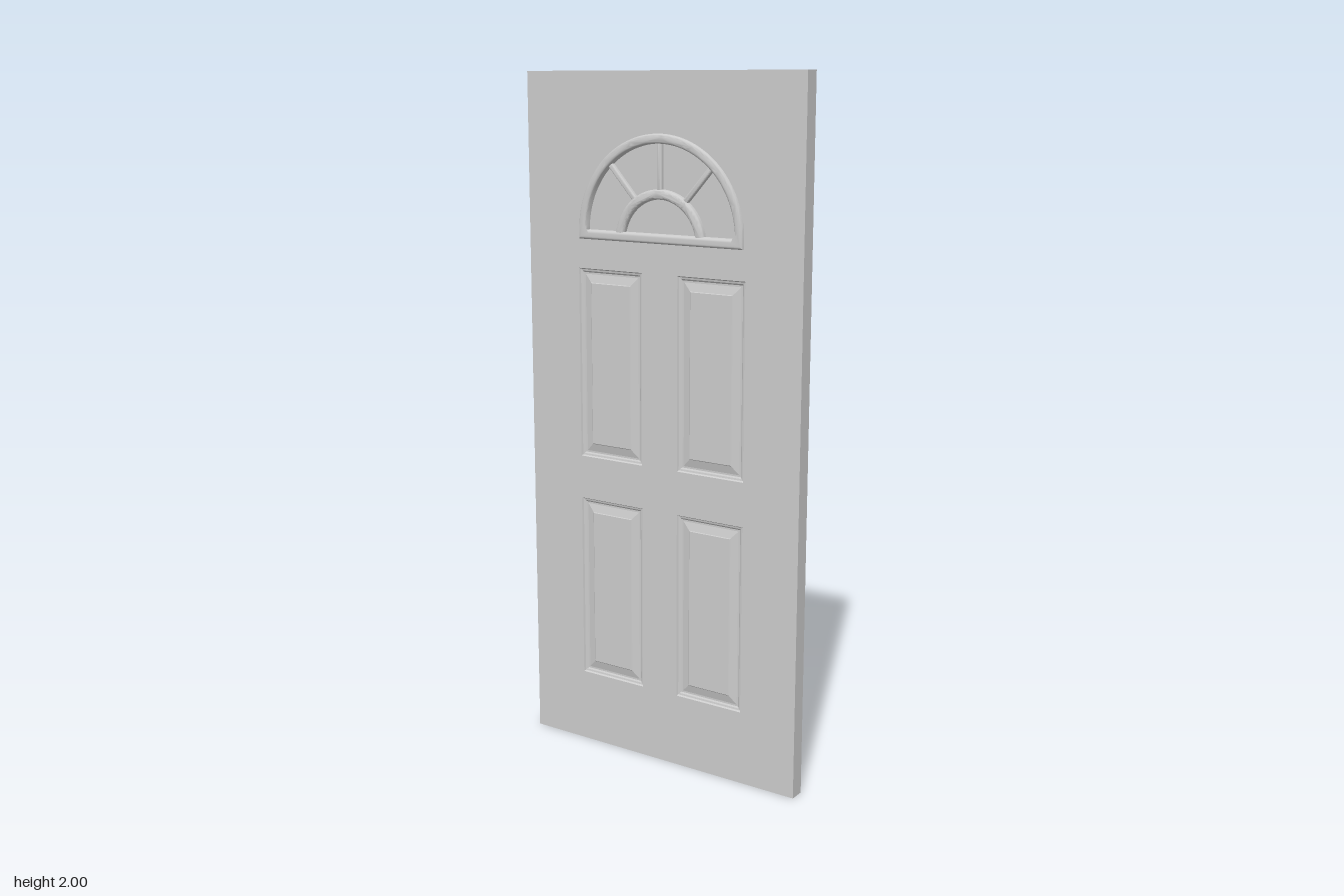
import * as THREE from 'three';
import { toCreasedNormals } from 'three/addons/utils/BufferGeometryUtils.js';

const W = 0.91, H = 2, HALF = 0.0225;      // door slab
const FAN_Y = 1.56, ARCH_Y = 1.535;        // centres of fanlight and small arch
const mat = new THREE.MeshStandardMaterial({ color: 0xcccccc });

function add(parent, name, geometry) {
  const mesh = new THREE.Mesh(geometry, mat);
  mesh.name = name;
  parent.add(mesh);
  return mesh;
}

// half disc of radius r around (0, cy), with straight sides down to y = bottom
function archOutline(path, r, cy, bottom) {
  path.moveTo(-r, bottom);
  path.lineTo(r, bottom);
  path.lineTo(r, cy);
  path.absarc(0, cy, r, 0, Math.PI, false);
  path.closePath();
  return path;
}

function rectPath(x0, y0, x1, y1, path = new THREE.Path()) {
  path.moveTo(x0, y0);
  path.lineTo(x1, y0);
  path.lineTo(x1, y1);
  path.lineTo(x0, y1);
  path.closePath();
  return path;
}

// extrusion centred on z = 0 with rounded edges that stay inside the outline
function moulding(shape, half, round) {
  const g = new THREE.ExtrudeGeometry(shape, {
    depth: 2 * (half - round), curveSegments: 32,
    bevelEnabled: round > 0, bevelSize: round, bevelThickness: round,
    bevelOffset: -round, bevelSegments: 4,
  });
  g.translate(0, 0, -(half - round));
  return toCreasedNormals(g, 0.6);
}

// raised panel: nested rectangles, each given as [inset, z]
function panelGeometry(x0, y0, x1, y1) {
  const levels = [[0, HALF], [0.003, 0.0175], [0.008, 0.0165], [0.012, 0.0135],
    [0.017, 0.0135], [0.04, 0.0195], [0.042, 0.021]];
  const loops = levels.map(([i, z]) => [
    [x0 + i, y0 + i, z], [x1 - i, y0 + i, z], [x1 - i, y1 - i, z], [x0 + i, y1 - i, z]]);
  const pos = [];
  const quad = (a, b, c, d) => pos.push(...a, ...b, ...c, ...a, ...c, ...d);
  for (let l = 0; l < loops.length - 1; l++) {
    for (let k = 0; k < 4; k++) {
      const n = (k + 1) % 4;
      quad(loops[l][k], loops[l][n], loops[l + 1][n], loops[l + 1][k]);
    }
  }
  quad(...loops[loops.length - 1]);
  const g = new THREE.BufferGeometry();
  g.setAttribute('position', new THREE.Float32BufferAttribute(pos, 3));
  g.computeVertexNormals();
  return g;
}

export function createModel() {
  const door = new THREE.Group();
  door.name = 'door';

  const panels = [];
  for (const [y0, y1] of [[0.217, 0.767], [0.895, 1.45]]) {
    panels.push([-0.278, y0, -0.06, y1], [0.06, y0, 0.278, y1]);
  }

  // slab with openings for the panels and the fanlight
  const slab = rectPath(-W / 2, 0, W / 2, H, new THREE.Shape());
  for (const p of panels) slab.holes.push(rectPath(...p));
  slab.holes.push(archOutline(new THREE.Path(), 0.26, FAN_Y, 1.546));
  add(door, 'slab', moulding(slab, HALF, 0));

  // raised panels on both faces
  for (const side of ['front', 'back']) {
    const face = new THREE.Group();
    face.name = side + 'Panels';
    if (side === 'back') face.rotation.y = Math.PI;
    for (const p of panels) add(face, 'raisedPanel', panelGeometry(...p));
    door.add(face);
  }

  // fanlight: glass, outer frame, small arch and glazing bars
  const fanlight = new THREE.Group();
  fanlight.name = 'fanlight';
  door.add(fanlight);

  add(fanlight, 'glass', moulding(archOutline(new THREE.Shape(), 0.258, FAN_Y, 1.55), 0.012, 0));

  const frame = archOutline(new THREE.Shape(), 0.273, FAN_Y, 1.534);
  frame.holes.push(archOutline(new THREE.Path(), 0.246, FAN_Y, 1.561));
  add(fanlight, 'fanlightFrame', moulding(frame, 0.032, 0.009));

  const arch = new THREE.Shape();
  arch.absarc(0, ARCH_Y, 0.148, 0.09, Math.PI - 0.09, false);
  arch.absarc(0, ARCH_Y, 0.12, Math.PI - 0.11, 0.11, true);
  arch.closePath();
  add(fanlight, 'innerArch', moulding(arch, 0.029, 0.009));

  for (const deg of [48, 90, 132]) {
    const bar = rectPath(0.112, -0.008, 0.256, 0.008, new THREE.Shape());
    const mesh = add(fanlight, 'glazingBar', moulding(bar, 0.025, 0.006));
    mesh.position.y = FAN_Y;
    mesh.rotation.z = THREE.MathUtils.degToRad(deg);
  }
  return door;
}
